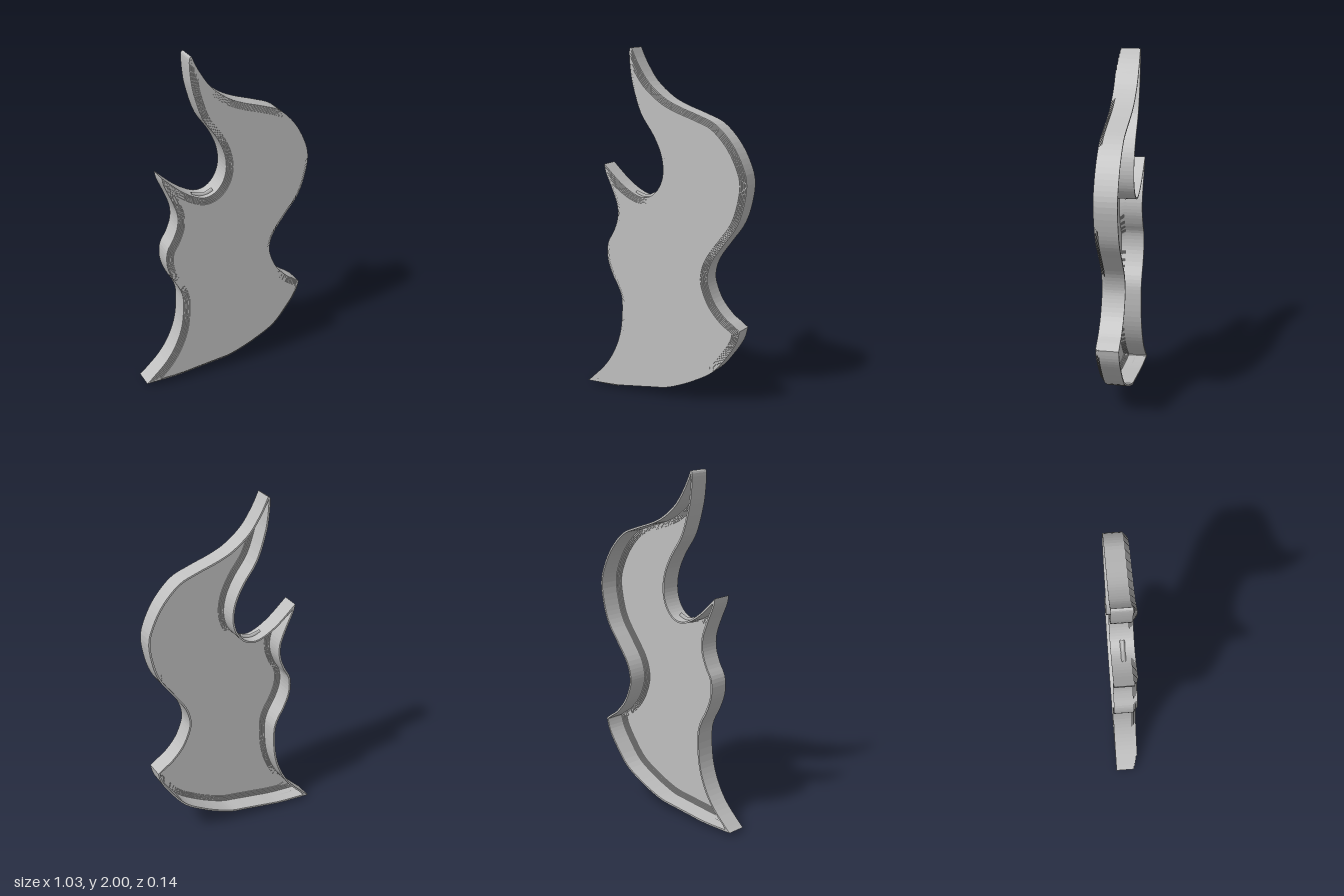
import * as THREE from 'three';

// Flame outline, counter-clockwise, as four smooth runs between the sharp tips
const RUNS = [
  [[-0.515, 0.02], [-0.33, 0.022], [-0.2, 0.035], [-0.07, 0.05], [0.01, 0.06], [0.09, 0.085], [0.195, 0.13],
    [0.315, 0.2], [0.405, 0.305], [0.46, 0.39], [0.48, 0.46]],
  [[0.48, 0.46], [0.44, 0.49], [0.39, 0.525], [0.325, 0.6], [0.285, 0.69], [0.278, 0.755], [0.305, 0.84],
    [0.38, 0.945], [0.45, 1.04], [0.49, 1.14], [0.513, 1.28], [0.485, 1.39], [0.42, 1.505], [0.325, 1.6],
    [0.22, 1.645], [0.09, 1.69], [0, 1.735], [-0.095, 1.815], [-0.165, 1.92], [-0.203, 2]],
  [[-0.203, 2], [-0.217, 1.985], [-0.213, 1.895], [-0.195, 1.79], [-0.145, 1.64], [-0.065, 1.52], [-0.018, 1.42],
    [-0.003, 1.325], [-0.02, 1.245], [-0.065, 1.185], [-0.125, 1.162], [-0.19, 1.178], [-0.28, 1.235], [-0.388, 1.335]],
  [[-0.388, 1.335], [-0.377, 1.285], [-0.335, 1.19], [-0.303, 1.1], [-0.303, 1.02], [-0.33, 0.945], [-0.367, 0.875],
    [-0.37, 0.785], [-0.34, 0.695], [-0.29, 0.6], [-0.275, 0.52], [-0.285, 0.37], [-0.325, 0.245], [-0.39, 0.14],
    [-0.475, 0.055], [-0.515, 0.02]],
];

const outline = RUNS.flatMap((run) => {
  const curve = new THREE.SplineCurve(run.map(([x, y]) => new THREE.Vector2(x, y)));
  return curve.getPoints((run.length - 1) * 4).slice(0, -1);
});

// Distance from p to the nearest outline segment
function distanceToOutline(p) {
  let best = Infinity;
  outline.forEach((a, i) => {
    const ab = outline[(i + 1) % outline.length].clone().sub(a);
    const ap = p.clone().sub(a);
    const t = THREE.MathUtils.clamp(ap.dot(ab) / ab.lengthSq(), 0, 1);
    best = Math.min(best, ap.addScaledVector(ab, -t).length());
  });
  return best;
}

// Outline moved inward by d, dropping points that cross over at the tips
function inset(d) {
  if (d === 0) return outline;
  const n = outline.length;
  return outline
    .map((p, i) => {
      const t = outline[(i + 1) % n].clone().sub(outline[(i + n - 1) % n]).normalize();
      return new THREE.Vector2(p.x - t.y * d, p.y + t.x * d);
    })
    .filter((p) => distanceToOutline(p) > d * 0.97);
}

// One flat layer between two depths; a wall width leaves it open in the middle
function layer(z0, z1, d, wall) {
  const shape = new THREE.Shape(inset(d));
  if (wall) shape.holes.push(new THREE.Path(inset(d + wall).slice().reverse()));
  const geometry = new THREE.ExtrudeGeometry(shape, { depth: z1 - z0, bevelEnabled: false });
  return geometry.translate(0, 0, z0);
}

export function createModel() {
  const model = new THREE.Group();
  model.name = 'flameShell';
  const grey = new THREE.MeshStandardMaterial({ color: 0xbfbfbf, side: THREE.DoubleSide });
  grey.name = 'grey';
  const add = (name, geometry) => {
    const mesh = new THREE.Mesh(geometry, grey);
    mesh.name = name;
    model.add(mesh);
  };

  // Thin side wall, open at the back
  const back = -0.068, shoulder = 0.043, front = 0.068;
  add('sideWall', layer(back, shoulder, 0, 0.01));

  // Stepped shoulder, narrowing toward the front plate
  const steps = 5, rise = (front - shoulder) / steps, tread = 0.006;
  for (let k = 1; k < steps; k++) {
    add('shoulderStep' + k, layer(shoulder + (k - 1) * rise, shoulder + k * rise, k * tread, 0.01));
  }
  add('frontPlate', layer(front - rise, front, steps * tread, 0));

  // Small ridges on the bottom edge and in the notch
  const ridge = (name, points, radius) => {
    const path = new THREE.CatmullRomCurve3(points.map(([x, y]) => new THREE.Vector3(x, y, 0)));
    add(name, new THREE.TubeGeometry(path, 12, radius, 4));
  };
  ridge('bottomRidge', [[-0.445, 0.017], [-0.39, 0.017], [-0.33, 0.017]], 0.017);
  ridge('notchRidge', [[-0.2, 1.178], [-0.125, 1.16], [-0.07, 1.18]], 0.014);

  return model;
}
